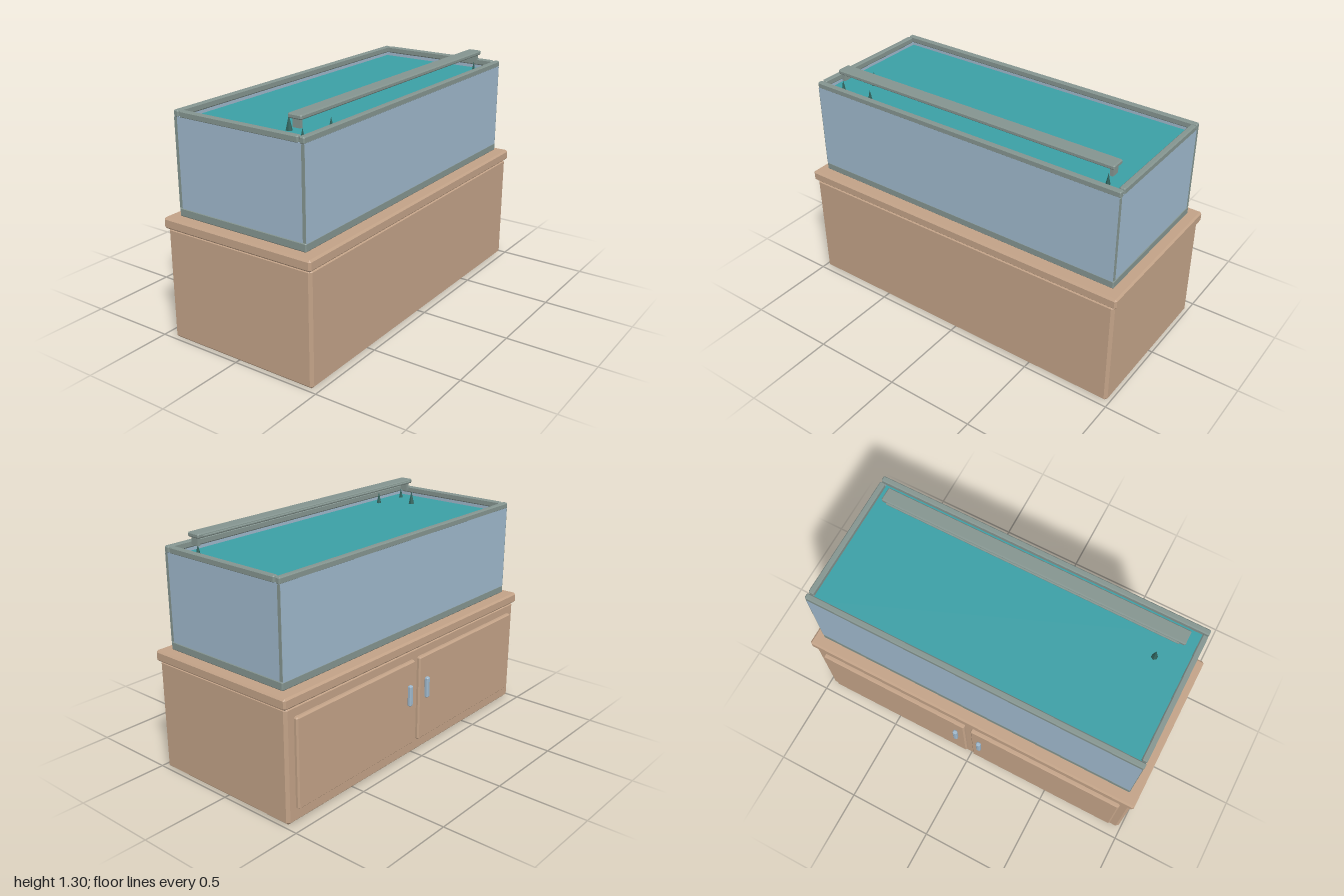
import * as THREE from 'three';
import { ConvexGeometry } from 'three/addons/geometries/ConvexGeometry.js';

function material(name, color) {
  const m = new THREE.MeshStandardMaterial({ color });
  m.name = name;
  return m;
}

// Box given by its limits, with every edge cut by a flat chamfer c
function chamferBox(x0, x1, y0, y1, z0, z1, c) {
  const h = [(x1 - x0) / 2, (y1 - y0) / 2, (z1 - z0) / 2];
  const points = [];
  for (const sx of [-1, 1]) for (const sy of [-1, 1]) for (const sz of [-1, 1]) {
    for (let axis = 0; axis < 3; axis++) {
      const p = h.map((v, i) => (i === axis ? v : v - c));
      points.push(new THREE.Vector3(sx * p[0], sy * p[1], sz * p[2]));
    }
  }
  return new ConvexGeometry(points).translate((x0 + x1) / 2, (y0 + y1) / 2, (z0 + z1) / 2);
}

function plainBox(x0, x1, y0, y1, z0, z1) {
  return new THREE.BoxGeometry(x1 - x0, y1 - y0, z1 - z0)
    .translate((x0 + x1) / 2, (y0 + y1) / 2, (z0 + z1) / 2);
}

export function createModel() {
  const wood = material('wood', 0xc2a287);
  const frame = material('frame grey', 0x84948f);
  const glass = material('glass blue', 0x9eb7cb);
  const water = material('water teal', 0x3b9fa5);
  const plant = material('plant green', 0x2f625c);

  const model = new THREE.Group();
  model.name = 'aquarium';
  const add = (name, geometry, mat) => {
    const mesh = new THREE.Mesh(geometry, mat);
    mesh.name = name;
    model.add(mesh);
    return mesh;
  };

  // Cabinet
  add('cabinetBody', chamferBox(-0.985, 0.985, 0, 0.625, -0.435, 0.47, 0.015), wood);
  add('cabinetTop', chamferBox(-1, 1, 0.62, 0.68, -0.446, 0.479, 0.01), wood);

  // Doors and handles on the back
  for (const s of [-1, 1]) {
    const side = s > 0 ? 'left' : 'right';
    const span = (a, b) => (s > 0 ? [a, b] : [-b, -a]);
    add(side + 'Door', chamferBox(...span(0.02, 0.93), 0.075, 0.567, -0.456, -0.425, 0.008), wood);
    add(side + 'Handle', chamferBox(...span(0.062, 0.088), 0.32, 0.44, -0.479, -0.455, 0.006), glass);
  }

  // Tank base and rim
  add('bottomFrame', chamferBox(-0.945, 0.945, 0.683, 0.73, -0.382, 0.415, 0.006), frame);
  add('baseSeal', plainBox(-0.93, 0.93, 0.675, 0.69, -0.37, 0.4), frame);
  add('frontRim', chamferBox(-0.945, 0.945, 1.2, 1.236, 0.384, 0.415, 0.006), frame);
  add('backRim', chamferBox(-0.945, 0.945, 1.2, 1.236, -0.382, -0.351, 0.006), frame);

  // Glass walls
  add('frontPane', plainBox(-0.94, 0.94, 0.725, 1.205, 0.396, 0.414), glass);
  add('backPane', plainBox(-0.94, 0.94, 0.725, 1.205, -0.381, -0.363), glass);
  for (const s of [-1, 1]) {
    const span = (a, b) => (s > 0 ? [a, b] : [-b, -a]);
    const side = s > 0 ? 'left' : 'right';
    add(side + 'Rim', chamferBox(...span(0.914, 0.945), 1.2, 1.236, -0.345, 0.378, 0.006), frame);
    add(side + 'Pane', plainBox(...span(0.925, 0.942), 0.725, 1.205, -0.363, 0.396), glass);
    // Thin seals on the ends of the front and back panes
    add(side + 'FrontSeal', plainBox(...span(0.938, 0.943), 0.73, 1.2, 0.396, 0.4135), frame);
    add(side + 'BackSeal', plainBox(...span(0.938, 0.943), 0.73, 1.2, -0.3805, -0.363), frame);
  }

  add('water', plainBox(-0.925, 0.925, 0.725, 1.18, -0.363, 0.396), water);

  // Plant tips rising through the water: x, z, tip height, radius
  const tips = [
    [-0.75, 0.175, 1.255, 0.02],
    [-0.635, 0.335, 1.246, 0.016],
    [-0.84, 0.325, 1.24, 0.014],
    [0.82, 0.31, 1.24, 0.014],
  ];
  for (const [x, z, top, r] of tips) {
    const cone = add('plantTip', new THREE.ConeGeometry(r, top - 1.17, 6).toNonIndexed(), plant);
    cone.geometry.computeVertexNormals();
    cone.position.set(x, (top + 1.17) / 2, z);
  }

  // Lamp bar on two short posts
  add('lampBar', chamferBox(-0.86, 0.86, 1.278, 1.303, 0.255, 0.335, 0.006), frame);
  add('lampBackStrip', chamferBox(-0.83, 0.83, 1.283, 1.294, 0.247, 0.26, 0.003), frame);
  for (const s of [-1, 1]) {
    const post = add('lampPost', plainBox(-0.009, 0.009, 1.236, 1.282, 0.275, 0.32), frame);
    post.position.x = s * 0.84;
  }

  return model;
}
